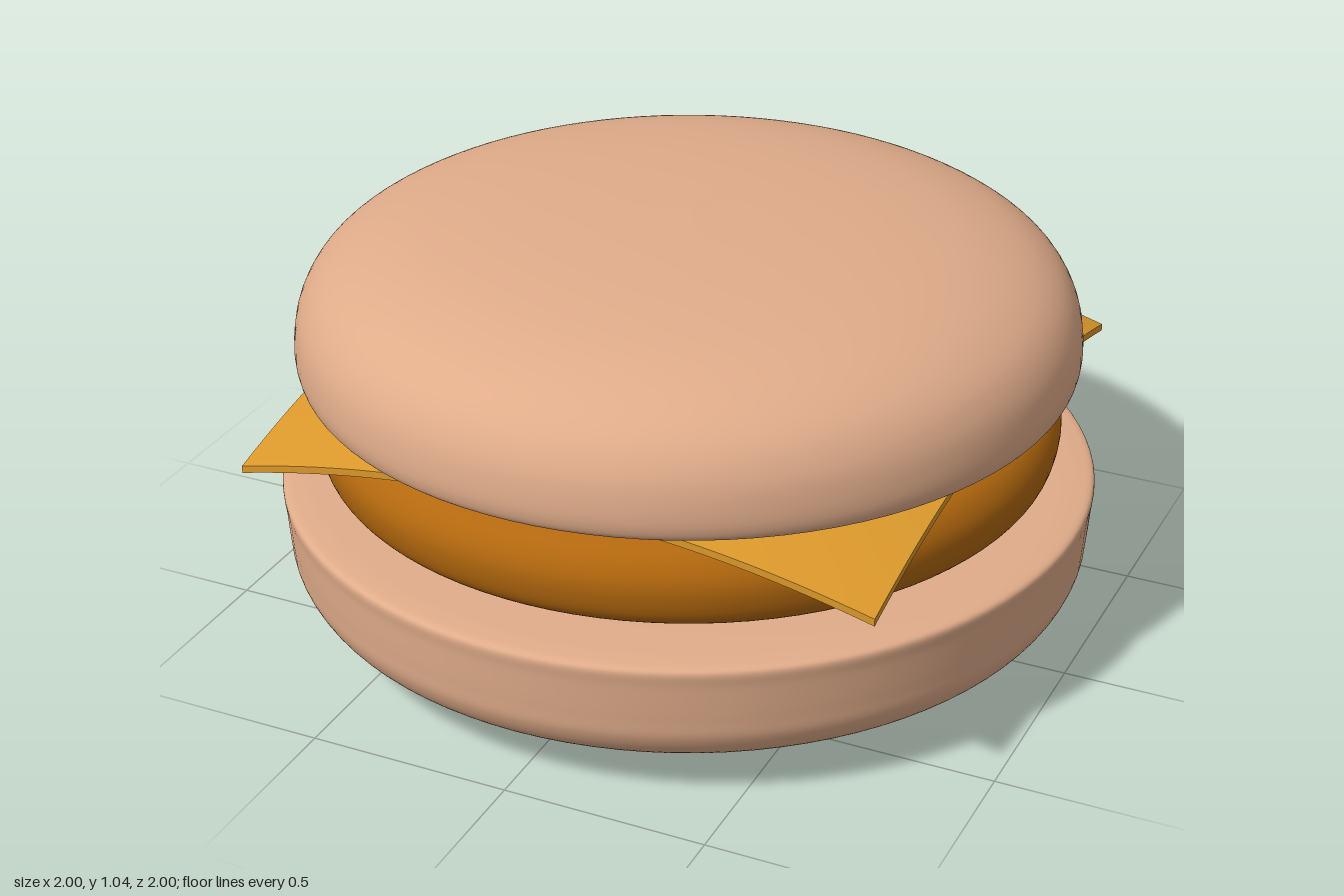
import * as THREE from 'three';

const bunMaterial = new THREE.MeshStandardMaterial({ color: 0xe0ac8a });
const pattyMaterial = new THREE.MeshStandardMaterial({ color: 0xb3680e });
const cheeseMaterial = new THREE.MeshStandardMaterial({ color: 0xdc992c });

// Smooth round part from [radius, height] points, listed from bottom to top
function roundPart(name, profile, material) {
  const curve = new THREE.CatmullRomCurve3(
    profile.map(([r, y]) => new THREE.Vector3(r, y, 0)), false, 'centripetal');
  const points = curve.getPoints(profile.length * 6)
    .map((p) => new THREE.Vector2(Math.max(p.x, 0), p.y));
  const mesh = new THREE.Mesh(new THREE.LatheGeometry(points, 96), material);
  mesh.name = name;
  return mesh;
}

// Thin square slice whose corners droop past the edge of the patty
function cheeseSlice() {
  const geometry = new THREE.BoxGeometry(1.59, 0.018, 1.59, 40, 1, 40);
  geometry.translate(0.013, 0.649, 0.003);
  const pos = geometry.attributes.position;
  for (let i = 0; i < pos.count; i++) {
    const x = pos.getX(i);
    const z = pos.getZ(i);
    const over = Math.max(0, Math.hypot(x, z) - 0.77);
    pos.setY(i, pos.getY(i) - 0.1 * Math.pow(over / 0.35, 1.25));
    // One back corner is cut slightly short
    if (x > 0 && z < 0) pos.setZ(i, z + 0.02 * (x / 0.81) ** 2 * (z / 0.79) ** 2);
  }
  geometry.computeVertexNormals();
  const mesh = new THREE.Mesh(geometry, cheeseMaterial);
  mesh.name = 'cheeseSlice';
  return mesh;
}

export function createModel() {
  const group = new THREE.Group();
  group.name = 'cheeseburger';

  group.add(roundPart('bottomBun', [
    [0, 0], [0.3, 0.007], [0.55, 0.025], [0.75, 0.053], [0.88, 0.09], [0.95, 0.132],
    [0.982, 0.185], [0.99, 0.24], [0.997, 0.33], [1, 0.368], [0.993, 0.377],
    [0.96, 0.383], [0.9, 0.386], [0.5, 0.389], [0, 0.39],
  ], bunMaterial));

  group.add(roundPart('patty', [
    [0, 0.385], [0.5, 0.386], [0.76, 0.39], [0.84, 0.405], [0.89, 0.44],
    [0.91, 0.5], [0.907, 0.55], [0.88, 0.595], [0.83, 0.622], [0.74, 0.634],
    [0.5, 0.639], [0, 0.64],
  ], pattyMaterial));

  group.add(cheeseSlice());

  group.add(roundPart('topBun', [
    [0, 0.655], [0.5, 0.656], [0.85, 0.659], [0.91, 0.664], [0.938, 0.675], [0.949, 0.7],
    [0.95, 0.75], [0.935, 0.82], [0.895, 0.885], [0.82, 0.94], [0.7, 0.984],
    [0.52, 1.015], [0.28, 1.033], [0, 1.04],
  ], bunMaterial));

  return group;
}
